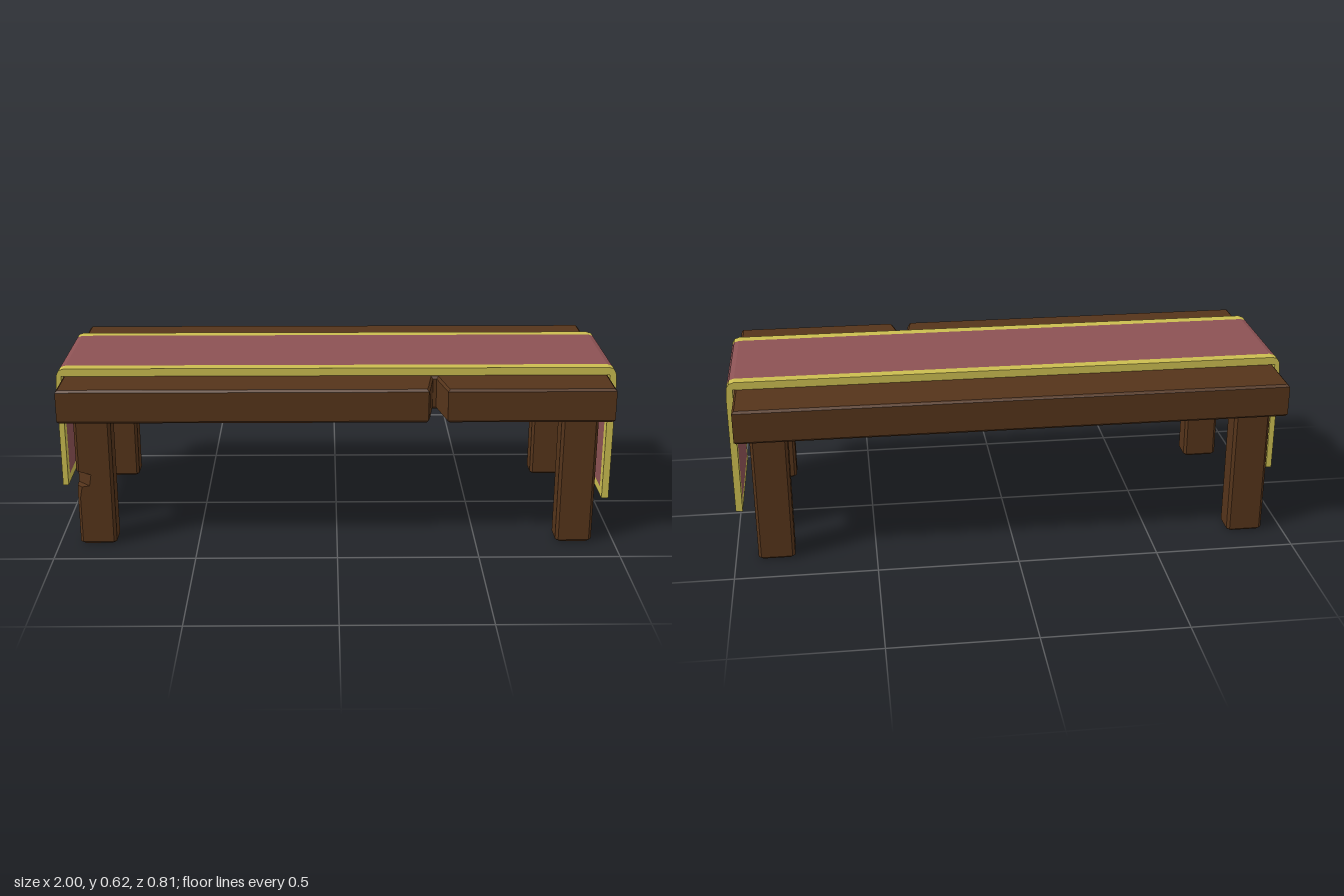
import * as THREE from 'three';

const wood = new THREE.MeshStandardMaterial({ color: 0x55341a, flatShading: true });
const red = new THREE.MeshStandardMaterial({ color: 0x8c5254, flatShading: true });
const gold = new THREE.MeshStandardMaterial({ color: 0xcbbd50, flatShading: true });

const toShape = (pts) => new THREE.Shape(pts.map(([x, y]) => new THREE.Vector2(x, y)));

function addMesh(parent, name, geometry, material) {
  const mesh = new THREE.Mesh(geometry, material);
  mesh.name = name;
  parent.add(mesh);
  return mesh;
}

// Thick plank with a wedge-shaped split in its front edge
function tableTop() {
  const b = 0.008, y0 = 0.47, y1 = 0.592;
  const outline = [
    [-0.975, 0.405], [0.318, 0.405], [0.325, 0.375], [0.342, 0.26], [0.355, 0.26],
    [0.378, 0.375], [0.385, 0.405], [0.97, 0.405], [0.97, -0.41], [-0.975, -0.41],
  ].map(([x, z]) => [x, -z]);
  const geo = new THREE.ExtrudeGeometry(toShape(outline), {
    depth: y1 - y0 - 2 * b, bevelEnabled: true, bevelSegments: 1,
    bevelThickness: b, bevelSize: b, bevelOffset: -b,
  });
  geo.rotateX(-Math.PI / 2);
  geo.translate(0, y0 + b, 0);
  return geo;
}

// Chamfered post lofted from octagonal rings; each level is [y, inset, front right corner cut]
function legGeometry(levels) {
  const c = 0.01;
  const rings = levels.map(([y, inset, k]) => {
    const w = 0.065 - inset, d = 0.0475 - inset;
    return [
      [w, -d + c], [w, d - c], [w - c, d], [-w + k, d],
      [-w, d - k], [-w, -d + c], [-w + c, -d], [w - c, -d],
    ].map(([x, z]) => [x, y, z]);
  });
  const pos = [];
  const tri = (...pts) => pts.forEach((p) => pos.push(...p));
  const n = 8, top = rings[rings.length - 1], bottom = rings[0];
  for (let i = 0; i < n; i++) {
    const j = (i + 1) % n;
    for (let r = 0; r < rings.length - 1; r++) {
      const a = rings[r], b = rings[r + 1];
      tri(a[i], b[i], a[j]);
      tri(a[j], b[i], b[j]);
    }
    tri([0, top[0][1], 0], top[j], top[i]);
    tri([0, bottom[0][1], 0], bottom[i], bottom[j]);
  }
  const geo = new THREE.BufferGeometry();
  geo.setAttribute('position', new THREE.Float32BufferAttribute(pos, 3));
  geo.computeVertexNormals();
  return geo;
}

// Strip of cloth draped over the plank, between two z values
function drape(endL, endR, z0, z1) {
  const profile = [
    [-1, endL], [-0.98, endL], [-0.98, 0.592], [0.975, 0.592], [0.975, endR], [1, endR],
    [1, 0.565], [0.996, 0.6], [0.988, 0.614], [0.97, 0.62],
    [-0.97, 0.62], [-0.988, 0.614], [-0.996, 0.6], [-1, 0.565],
  ];
  const geo = new THREE.ExtrudeGeometry(toShape(profile), { depth: z1 - z0, bevelEnabled: false });
  geo.translate(0, 0, z0);
  return geo;
}

export function createModel() {
  const group = new THREE.Group();
  group.name = 'table';
  addMesh(group, 'tableTop', tableTop(), wood);

  // Legs, one of them with a chipped corner
  const c = 0.01, foot = [[0, 0.008, c], [0.008, 0, c]], head = [[0.462, 0, c], [0.472, 0.008, c]];
  const plain = legGeometry([...foot, ...head]);
  const chipped = legGeometry([
    ...foot, [0.18, 0, c], [0.222, 0, 0.018], [0.226, 0, 0.045],
    [0.268, 0, 0.052], [0.28, 0, c], ...head,
  ]);
  for (const x of [-0.86, 0.855]) {
    for (const z of [-0.327, 0.327]) {
      const isChipped = x < 0 && z > 0;
      const name = (z > 0 ? 'front' : 'back') + (x > 0 ? 'Left' : 'Right') + 'Leg';
      addMesh(group, name, isChipped ? chipped : plain, wood).position.set(x, 0, z);
    }
  }

  // Table runner: red field framed by gold borders
  const runner = new THREE.Group();
  runner.name = 'tableRunner';
  group.add(runner);
  const endL = 0.175, endR = 0.115, hem = 0.03;
  const zBack = -0.213, zRedBack = -0.175, zRedFront = 0.203, zFront = 0.243;
  addMesh(runner, 'runnerField', drape(endL + hem, endR + hem, zRedBack, zRedFront), red);
  addMesh(runner, 'backBorder', drape(endL, endR, zBack, zRedBack), gold);
  addMesh(runner, 'frontBorder', drape(endL, endR, zRedFront, zFront), gold);
  for (const [name, x, t, y] of [['rightHem', -0.99, 0.02, endL], ['leftHem', 0.9875, 0.025, endR]]) {
    const box = new THREE.BoxGeometry(t, hem, zRedFront - zRedBack);
    addMesh(runner, name, box, gold).position.set(x, y + hem / 2, (zRedBack + zRedFront) / 2);
  }
  return group;
}
